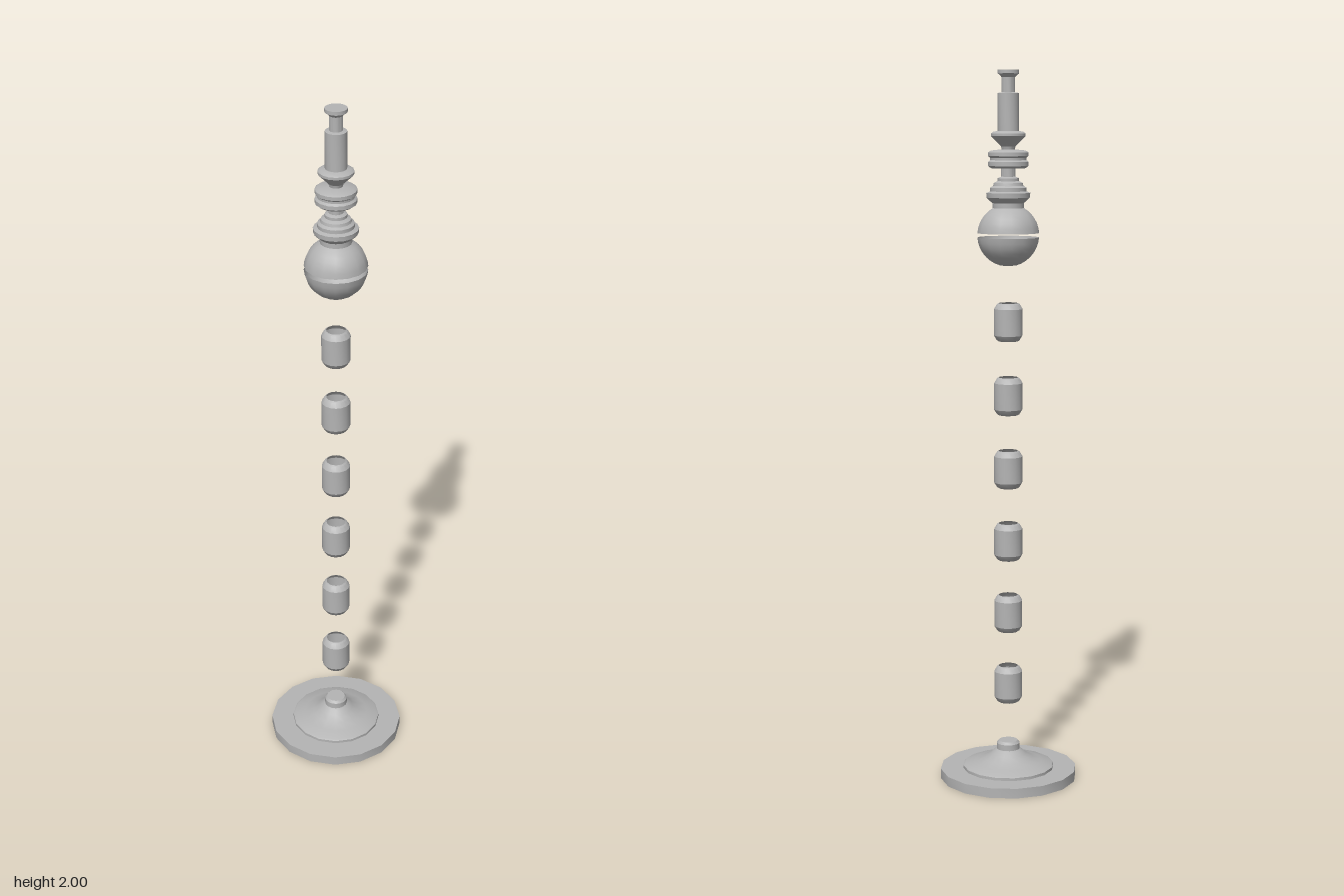
import * as THREE from 'three';
import { toCreasedNormals } from 'three/addons/utils/BufferGeometryUtils.js';

const SIDES = 16;

export function createModel() {
  const group = new THREE.Group();
  const grey = new THREE.MeshStandardMaterial({ color: 0xb4b4b4, side: THREE.DoubleSide });
  grey.name = 'grey metal';

  // Turned part from [radius, height] pairs, listed from the bottom up
  function turned(name, profile, y = 0) {
    const points = profile.map(([r, h]) => new THREE.Vector2(r, h));
    const geometry = toCreasedNormals(new THREE.LatheGeometry(points, SIDES), 0.5);
    const mesh = new THREE.Mesh(geometry, grey);
    mesh.name = name;
    mesh.position.y = y;
    group.add(mesh);
  }

  // Foot: flat disc with a flared pedestal
  turned('baseDisc', [[0, 0], [0.195, 0], [0.195, 0.028], [0, 0.028]]);
  turned('basePedestal', [
    [0.13, 0.028], [0.13, 0.036], [0.125, 0.039], [0.095, 0.046], [0.07, 0.056],
    [0.05, 0.069], [0.038, 0.08], [0.033, 0.083], [0.033, 0.1], [0.027, 0.107], [0, 0.107],
  ]);

  // Floating barrel beads, open at both ends
  for (let i = 0; i < 6; i++) {
    turned('bead' + (i + 1), [
      [0.027, -0.053], [0.032, -0.05], [0.04, -0.037],
      [0.04, 0.037], [0.032, 0.05], [0.027, 0.053],
    ], 0.275 + i * 0.2073);
  }

  // Ball in two halves with a thin gap between them
  const R = 0.086;
  const arc = (from, to, steps) => Array.from({ length: steps + 1 }, (_, i) => {
    const a = from + (to - from) * i / steps;
    return [R * Math.cos(a), R * Math.sin(a)];
  });
  turned('ballLower', arc(-1.3, -0.07, 7), 1.552);
  turned('ballUpper', arc(0.07, 1.05, 6), 1.552);

  // Collar above the ball
  turned('ballCollar', [
    [0.043, 1.626], [0.043, 1.64], [0.05, 1.645], [0.06, 1.655], [0.061, 1.668],
    [0.05, 1.672], [0.05, 1.682], [0.042, 1.687], [0.04, 1.695], [0.03, 1.7],
    [0.03, 1.708], [0.02, 1.712], [0.02, 1.735],
  ]);

  // Double disc with a groove
  turned('groovedRing', [
    [0.02, 1.735], [0.048, 1.735], [0.056, 1.741], [0.056, 1.752], [0.05, 1.757],
    [0.05, 1.763], [0.056, 1.768], [0.056, 1.778], [0.048, 1.783], [0.018, 1.786],
  ]);

  // Flared cup, grip and cap
  turned('flaredCup', [
    [0.018, 1.786], [0.02, 1.794], [0.048, 1.822], [0.048, 1.829], [0.041, 1.834], [0.029, 1.836],
  ]);
  turned('grip', [[0.029, 1.836], [0.029, 1.938], [0.018, 1.94]]);
  turned('topNeck', [[0.018, 1.94], [0.018, 1.98], [0.026, 1.988]]);
  turned('topCap', [[0.026, 1.988], [0.03, 1.99], [0.03, 2], [0, 2]]);

  return group;
}
